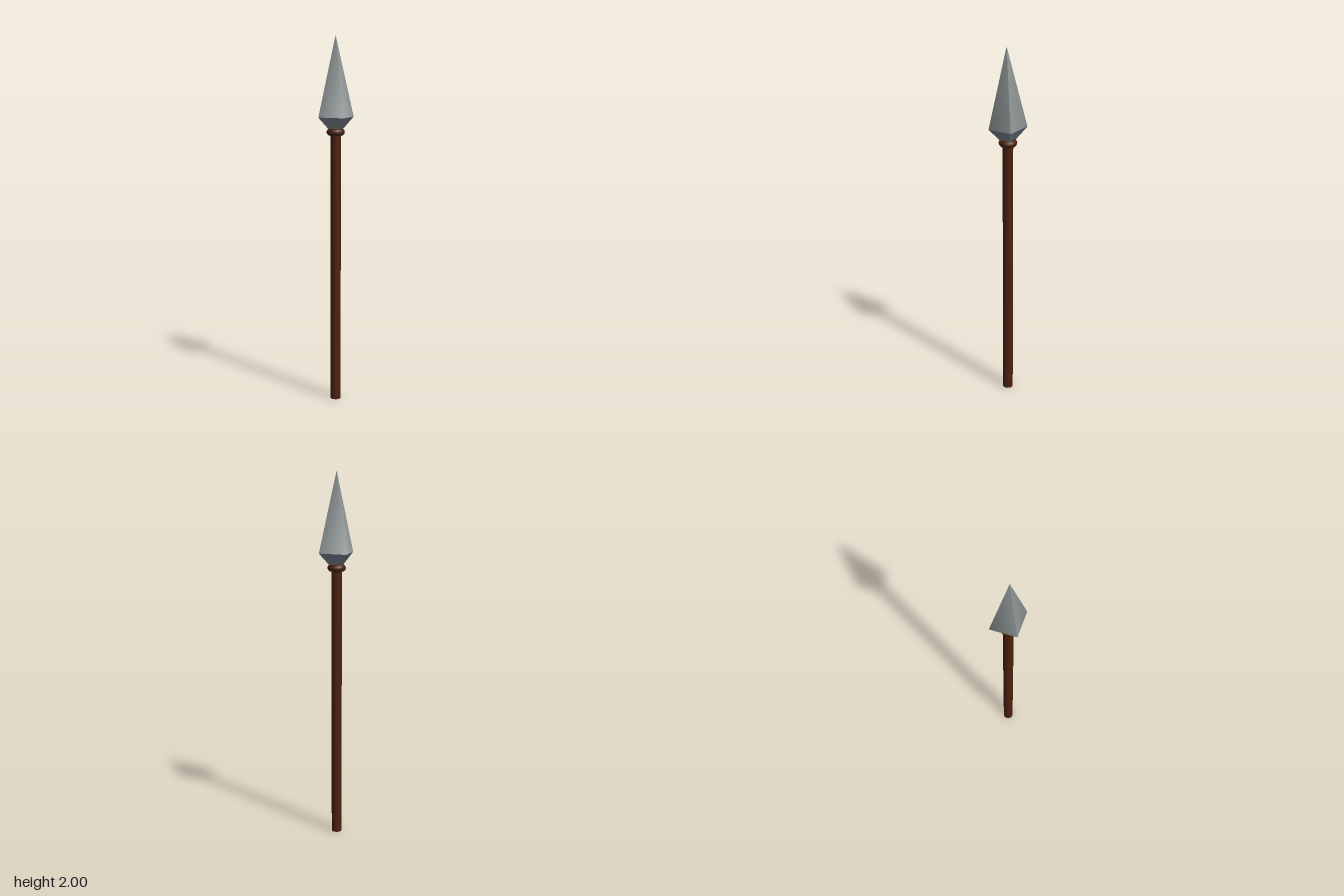
import * as THREE from 'three';

const wood = new THREE.MeshStandardMaterial({ color: 0x4a210e });
wood.name = 'dark wood';
const steel = new THREE.MeshStandardMaterial({ color: 0x8f9696 });
steel.name = 'steel grey';
const blueSteel = new THREE.MeshStandardMaterial({ color: 0x79848f });
blueSteel.name = 'blue grey steel';

// Smooth strip between two rows of points (lower row, upper row), left to right
function strip(lower, upper) {
  const n = lower.length;
  const index = [];
  for (let i = 0; i < n - 1; i++) {
    index.push(i, i + 1, n + i + 1, i, n + i + 1, n + i);
  }
  const geometry = new THREE.BufferGeometry();
  geometry.setAttribute('position', new THREE.Float32BufferAttribute([...lower, ...upper].flat(), 3));
  geometry.setIndex(index);
  geometry.computeVertexNormals();
  return geometry;
}

export function createModel() {
  const model = new THREE.Group();
  model.name = 'spear';
  const add = (name, geometry, material, parent = model) => {
    const mesh = new THREE.Mesh(geometry, material);
    mesh.name = name;
    parent.add(mesh);
    return mesh;
  };

  // Shaft and the ring that binds the head to it
  add('shaft', new THREE.CylinderGeometry(0.028, 0.028, 1.5, 20), wood).position.y = 0.75;
  const collar = add('collar', new THREE.TorusGeometry(0.029, 0.02, 12, 24), wood);
  collar.rotation.x = Math.PI / 2;
  collar.position.y = 1.49;

  // Four-cornered head: front and back halves meet in sharp side edges
  const head = new THREE.Group();
  head.name = 'spearhead';
  model.add(head);
  const tip = [-0.003, 2, 0.006];
  const left = [0.1, 1.57, 0.012], right = [-0.1, 1.57, 0];
  const front = [0, 1.57, 0.104], back = [0, 1.57, -0.106];
  const neck = ([x, , z]) => [x * 0.36, 1.5, z * 0.36];

  for (const [side, row] of [['front', [right, front, left]], ['back', [left, back, right]]]) {
    add(side + 'Blade', strip(row, row.map(() => tip)), steel, head);
    add(side + 'Socket', strip(row.map(neck), row), blueSteel, head);
  }
  return model;
}
